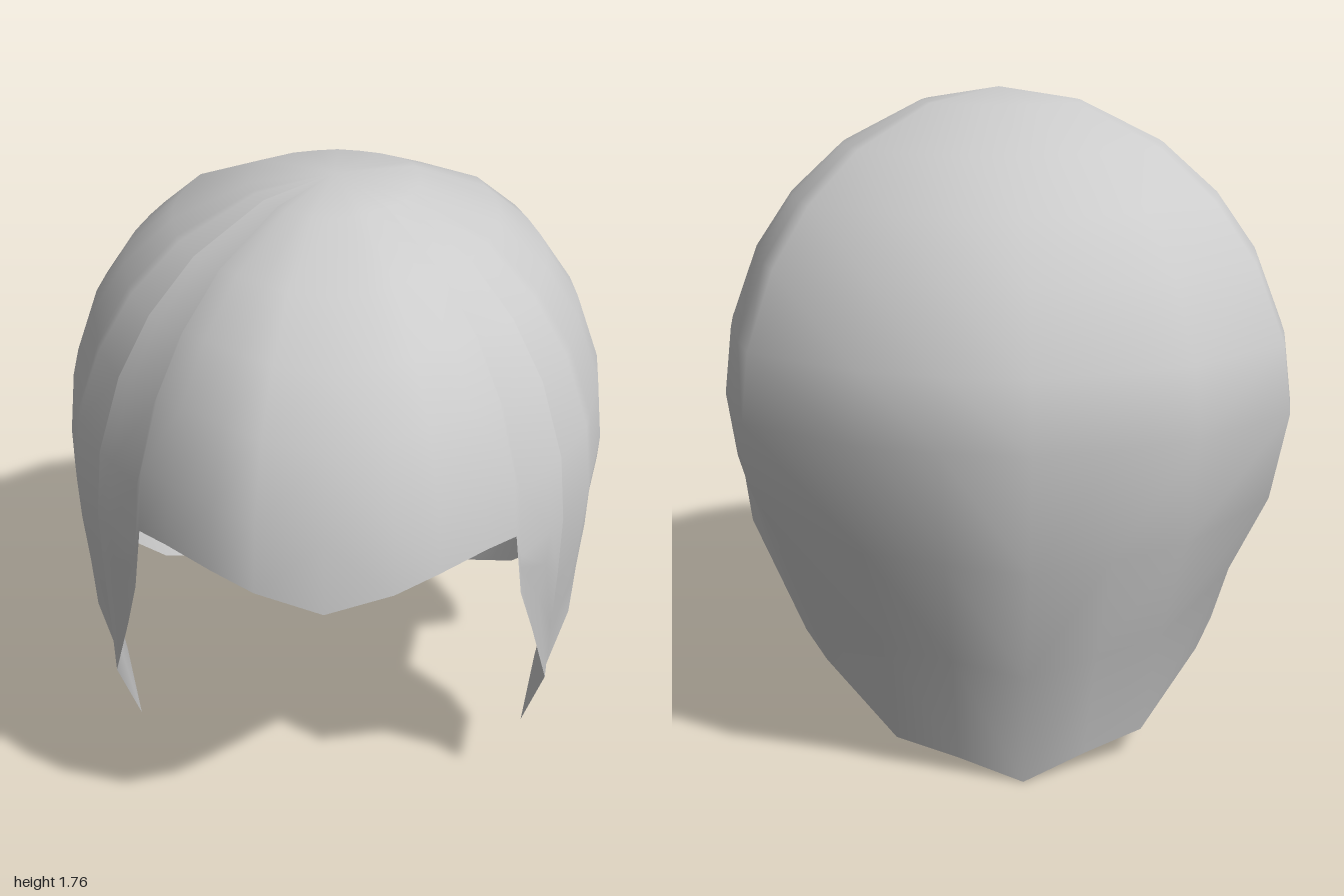
import * as THREE from 'three';
import { mergeVertices } from 'three/addons/utils/BufferGeometryUtils.js';

const CROWN = { y: 1.76, z: 0.1 };
const RING_Y = 0.95;

// Plan outline at the widest level, [x, z], front to back on the left side
const RING = [[0, 1], [0.17, 0.97], [0.28, 0.91], [0.4, 0.81], [0.5, 0.71], [0.69, 0.43], [0.775, 0.06],
  [0.8, -0.2], [0.76, -0.44], [0.71, -0.64], [0.41, -0.89], [0.2, -0.96], [0, -1]];

// Lower edge, [x, y, z], front to back on the left side
const EDGE = [
  [0, 0.95, 1], [0.17, 0.99, 0.97], [0.28, 1.015, 0.91], [0.4, 1.025, 0.81], [0.48, 1.01, 0.72], // brow
  [0.5, 0.84, 0.72], [0.555, 0.62, 0.56], [0.605, 0.43, 0.52], [0.55, 0.25, 0.48], // sideburn front
  [0.63, 0.32, 0.32], [0.69, 0.5, 0.29], [0.695, 0.71, 0.26], // sideburn rear
  [0.755, 0.75, 0.05], [0.74, 0.52, -0.11], [0.66, 0.395, -0.23], // behind the ear
  [0.58, 0.27, -0.35], [0.52, 0.215, -0.44], [0.33, 0.08, -0.66], [0.17, 0.045, -0.72], [0, 0, -0.785], // nape
];

const azimuth = (x, z) => Math.atan2(x, z - CROWN.z);

// Point of the plan outline in a given direction from the crown axis
function ringAt(phi) {
  for (let i = 0; i < RING.length - 1; i++) {
    const [ax, az] = RING[i], [bx, bz] = RING[i + 1];
    const p = azimuth(ax, az), q = azimuth(bx, bz);
    if (phi <= q + 1e-6) {
      const t = (phi - p) / (q - p);
      return [ax + (bx - ax) * t, az + (bz - az) * t];
    }
  }
  return RING[RING.length - 1];
}

// One meridian: elliptical from crown to ring, then tucking in to the lower edge
function column([hx, hy, hz]) {
  const atBrow = hy > 0.9;
  const [rx, rz] = atBrow ? [hx, hz] : ringAt(azimuth(hx, hz));
  const ry = atBrow ? hy : RING_Y;
  const points = [];
  for (const degrees of [0, 17, 35, 49, 62, 77, 90]) {
    const a = THREE.MathUtils.degToRad(degrees);
    const s = Math.sin(a);
    points.push([rx * s, ry + (CROWN.y - ry) * Math.cos(a), CROWN.z + (rz - CROWN.z) * s]);
  }
  for (const [drop, tuck] of [[0.33, 0.2], [0.66, 0.66], [1, 1]]) {
    points.push([rx + (hx - rx) * tuck, ry + (hy - ry) * drop, rz + (hz - rz) * tuck]);
  }
  return points;
}

function shellGeometry() {
  const left = EDGE.map(column);
  const right = left.slice(1, -1).reverse().map(c => c.map(([x, y, z]) => [-x, y, z]));
  const columns = [...left, ...right];
  const rows = left[0].length;
  const index = [];
  columns.forEach((_, i) => {
    const next = (i + 1) % columns.length;
    for (let j = 0; j < rows - 1; j++) {
      const a = i * rows + j, c = next * rows + j;
      // Diagonals mirror across the middle
      if (i < left.length - 1) index.push(a, a + 1, c + 1, a, c + 1, c);
      else index.push(a, a + 1, c, a + 1, c + 1, c);
    }
  });
  const raw = new THREE.BufferGeometry();
  raw.setAttribute('position', new THREE.Float32BufferAttribute(columns.flat(2), 3));
  raw.setIndex(index);

  // Weld the crown and brow, then drop the collapsed faces
  const geometry = mergeVertices(raw, 1e-4);
  const welded = Array.from(geometry.index.array), kept = [];
  for (let k = 0; k < welded.length; k += 3) {
    const [a, b, c] = welded.slice(k, k + 3);
    if (a !== b && b !== c && a !== c) kept.push(a, b, c);
  }
  geometry.setIndex(kept);
  geometry.computeVertexNormals();
  return geometry;
}

export function createModel() {
  const group = new THREE.Group();
  group.name = 'hair';
  const material = new THREE.MeshStandardMaterial({ color: 0xcccccc, side: THREE.DoubleSide });
  const shell = new THREE.Mesh(shellGeometry(), material);
  shell.name = 'hairShell';
  group.add(shell);
  return group;
}
